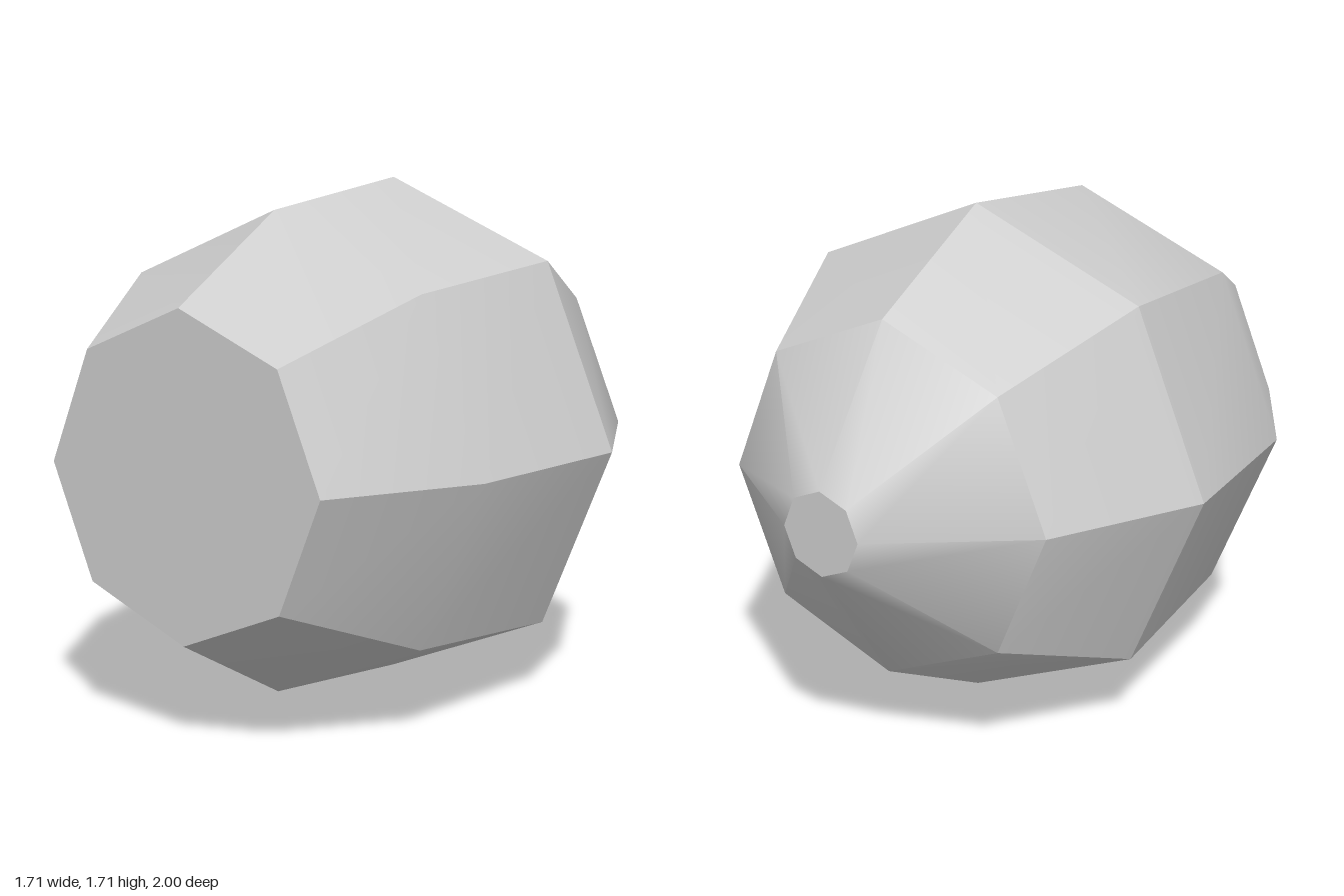
import * as THREE from 'three';
import { toCreasedNormals } from 'three/addons/utils/BufferGeometryUtils.js';

export function createModel() {
  const model = new THREE.Group();
  model.name = 'octagonalBarrel';

  const lightGrey = new THREE.MeshStandardMaterial({ color: 0xcccccc });
  lightGrey.name = 'lightGrey';

  // Profile from the small back cap to the wide front cap: [radius, z]
  const profile = [
    [0, -1], [0.14, -1], [0.597, -0.663], [0.857, -0.14],
    [0.786, 0.525], [0.523, 1], [0, 1],
  ].map(([r, z]) => new THREE.Vector2(r, z));

  // Eight-sided closed body laid along z; only the sharper edges stay creased
  const body = new THREE.LatheGeometry(profile, 8);
  body.rotateX(Math.PI / 2);
  const shell = new THREE.Mesh(toCreasedNormals(body, THREE.MathUtils.degToRad(29)), lightGrey);
  shell.name = 'shell';
  shell.position.y = 0.857;
  model.add(shell);

  return model;
}
